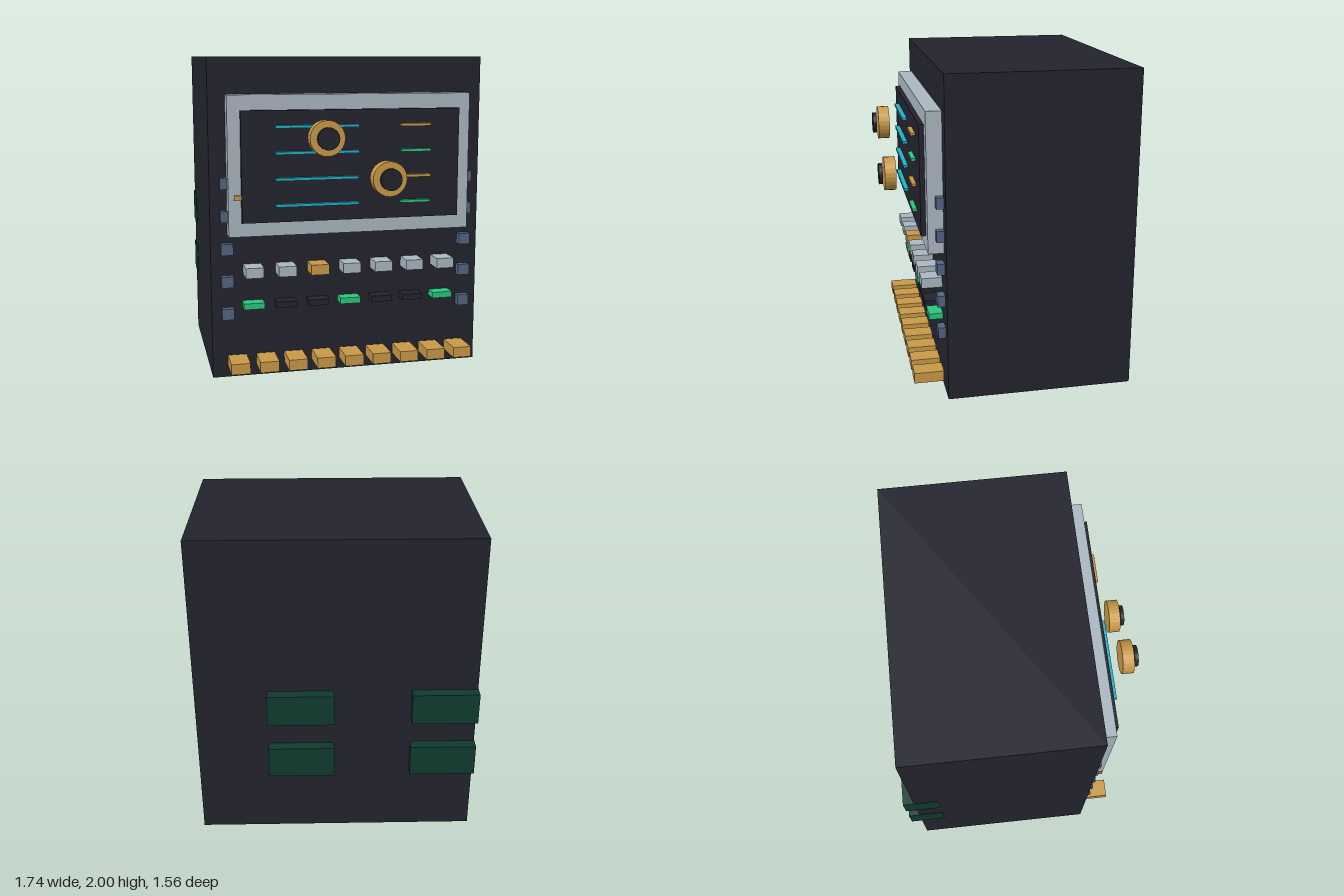
import * as THREE from 'three';

const mat = (name, color) => {
  const m = new THREE.MeshStandardMaterial({ color });
  m.name = name;
  return m;
};

export function createModel() {
  const model = new THREE.Group();
  model.name = 'controlCabinet';

  const dark = mat('charcoal', 0x23232e);
  const silver = mat('silver', 0xabb8c2);
  const gold = mat('gold', 0xc99a48);
  const cyan = mat('cyan', 0x22b0c8);
  const green = mat('green', 0x2cc77e);
  const slate = mat('slate', 0x526580);
  const pine = mat('darkGreen', 0x0f3a2f);

  // Box given by its extents on each axis
  const box = (name, material, [x0, x1], [y0, y1], [z0, z1]) => {
    const mesh = new THREE.Mesh(new THREE.BoxGeometry(x1 - x0, y1 - y0, z1 - z0), material);
    mesh.position.set((x0 + x1) / 2, (y0 + y1) / 2, (z0 + z1) / 2);
    mesh.name = name;
    model.add(mesh);
  };
  const span = (centre, size) => [centre - size / 2, centre + size / 2];

  // Disc facing the front
  const disc = (name, material, r, x, y, z0, z1) => {
    const geo = new THREE.CylinderGeometry(r, r, z1 - z0, 24).toNonIndexed();
    geo.rotateX(Math.PI / 2);
    geo.computeVertexNormals();
    const mesh = new THREE.Mesh(geo, material);
    mesh.position.set(x, y, (z0 + z1) / 2);
    mesh.name = name;
    model.add(mesh);
  };

  // Cabinet, screen frame and screen
  box('cabinet', dark, [-0.87, 0.87], [0, 2], [-0.71, 0.45]);
  box('screenFrame', silver, [-0.765, 0.765], [0.915, 1.775], [0.44, 0.545]);
  box('screen', dark, [-0.687, 0.687], [1.003, 1.683], [0.54, 0.575]);
  box('frameTab', gold, [-0.73, -0.65], [1.14, 1.172], [0.53, 0.558]);

  // Readout lines on the screen
  [1.585, 1.427, 1.268, 1.108].forEach((y, i) => {
    box('longReadout', cyan, [-0.482, 0.034], span(y, 0.017), [0.57, 0.605]);
    box('shortReadout', i % 2 ? green : gold, [0.305, 0.494], span(y, 0.017), [0.57, 0.602]);
  });

  // Dials with dark caps
  for (const [x, y] of [[-0.195, 1.523], [0.19, 1.27]]) {
    disc('dial', gold, 0.107, x, y, 0.675, 0.747);
    disc('dialCap', dark, 0.067, x, y, 0.757, 0.78);
  }

  // Two rows of keys
  for (let i = 0; i < 7; i++) {
    const x = (i - 3) * 0.2045;
    box('key', i === 2 ? gold : silver, span(x, 0.112), [0.66, 0.724], [0.44, 0.578]);
    box('indicator', i % 3 ? dark : green, span(x, 0.13), [0.453, 0.491], [0.44, 0.537]);
  }

  // Bottom terminals
  for (let i = 0; i < 9; i++) {
    box('terminal', gold, span((i - 4) * 0.1793, 0.118), [0.079, 0.146], [0.463, 0.647]);
  }

  // Clamps down both edges
  for (const side of [-1, 1]) {
    for (let i = 0; i < 5; i++) {
      box('clamp', slate, span(side * 0.772, 0.075), span(0.418 + i * 0.205, 0.07), [0.452, 0.498]);
    }
  }

  // Rear modules, sunk into the cabinet
  for (const x of [[-0.873, -0.463], [0.014, 0.424]]) {
    for (const y of [[0.438, 0.642], [0.815, 1.018]]) {
      box('rearModule', pine, x, y, [-0.78, -0.55]);
    }
  }
  return model;
}
